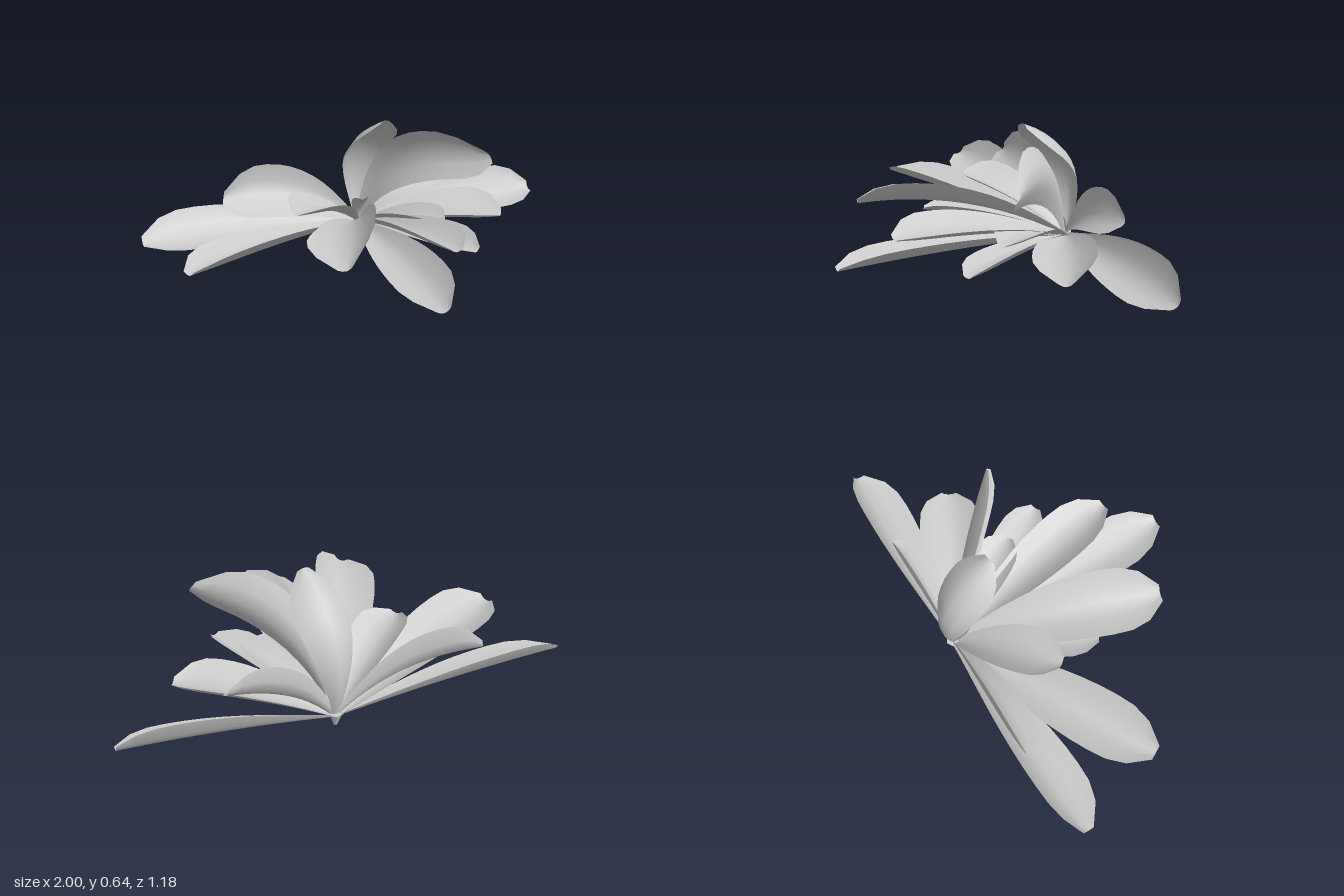
import * as THREE from 'three';

const { degToRad } = THREE.MathUtils;
const CROWN = new THREE.Vector3(0.07, 0.04, -0.52);
const ROWS = 12;
const COLUMNS = 4;
const WIDEST = 0.74;
const CUP = 0.5;

// Each leaf: name, tip x, y, z, half width, roll in degrees, upward bow
const LOW_LEAVES = [
  ['longBackRightLeaf', -1, 0.105, -0.46, 0.127, 29, 0.015],
  ['longFrontRightLeaf', -0.87, 0.115, -0.02, 0.138, -10, 0.02],
  ['longFrontLeaf', 0.07, 0.07, 0.6, 0.128, -14, 0.015],
  ['longBackLeftLeaf', 1, 0.105, -0.51, 0.127, -37, 0.015],
  ['sideLeftLeaf', 0.69, 0.12, -0.18, 0.14, -8, 0.025],
  ['lowFrontLeftLeaf', 0.42, 0.1, 0.14, 0.1, -12, 0.015],
  ['lowRightLeaf', -0.29, 0.13, 0.05, 0.1, -8, 0.025],
];
const HIGH_LEAVES = [
  ['innerFrontRightLeaf', -0.28, 0.22, 0.38, 0.148, -22, 0.08],
  ['innerFrontLeaf', 0.21, 0.235, 0.39, 0.122, 4, 0.03],
  ['innerRightLeaf', -0.34, 0.26, -0.18, 0.115, 5, 0.04],
  ['innerLeftLeaf', 0.33, 0.17, -0.06, 0.1, 0, 0.03],
  ['upperBackRightLeaf', -0.6, 0.25, -0.52, 0.13, 60, 0.08],
  ['upperBackLeftLeaf', 0.54, 0.29, -0.54, 0.105, -63, 0.07],
  ['tallLeftLeaf', 0.55, 0.49, -0.03, 0.132, -94, 0.17],
  ['tallBackLeaf', 0.12, 0.64, -0.26, 0.12, 180, 0.15],
  ['heartLeaf', 0.06, 0.2, -0.41, 0.04, 0, 0.02],
];

// Share of full width: swells from the stalk, then closes to a blunt tip
function widthAt(t) {
  if (t < WIDEST) return 0.12 + 0.88 * Math.sin((Math.PI / 2) * (t / WIDEST)) ** 1.2;
  return 1 - 0.75 * ((t - WIDEST) / (1 - WIDEST)) ** 3;
}

// A cupped blade swept along an arc from the crown to the tip
function leafGeometry(tip, halfWidth, roll, bow) {
  const along = tip.clone().sub(CROWN).normalize();
  const right = along.clone().cross(new THREE.Vector3(0, 1, 0)).normalize();
  const up = right.clone().cross(along);
  const control = CROWN.clone().lerp(tip, 0.5).addScaledVector(up, 2 * bow);
  const spine = new THREE.QuadraticBezierCurve3(CROWN, control, tip);
  const side = right.applyAxisAngle(along, -degToRad(roll));

  const points = [];
  const indices = [];
  for (let row = 0; row <= ROWS; row++) {
    const t = row / ROWS;
    const width = halfWidth * widthAt(t);
    const normal = side.clone().cross(spine.getTangent(t)).normalize();
    for (let col = 0; col <= COLUMNS; col++) {
      const u = (2 * col) / COLUMNS - 1;
      points.push(spine.getPoint(t)
        .addScaledVector(side, u * width)
        .addScaledVector(normal, CUP * u * u * width));
      if (row < ROWS && col < COLUMNS) {
        const a = row * (COLUMNS + 1) + col;
        const b = a + COLUMNS + 1;
        indices.push(a, a + 1, b, a + 1, b + 1, b);
      }
    }
  }
  const geometry = new THREE.BufferGeometry().setFromPoints(points);
  geometry.setIndex(indices);
  geometry.computeVertexNormals();
  return geometry;
}

export function createModel() {
  const group = new THREE.Group();
  group.name = 'leafyPlant';
  const material = new THREE.MeshStandardMaterial({ color: 0xcccccc, side: THREE.DoubleSide });

  for (const [name, x, y, z, halfWidth, roll, bow] of [...LOW_LEAVES, ...HIGH_LEAVES]) {
    const tip = new THREE.Vector3(x, y, z);
    const leaf = new THREE.Mesh(leafGeometry(tip, halfWidth, roll, bow), material);
    leaf.name = name;
    group.add(leaf);
  }

  // Short root where the leaves meet
  const root = new THREE.Mesh(new THREE.CylinderGeometry(0.03, 0.008, 0.06, 6), material);
  root.name = 'root';
  root.position.set(CROWN.x, 0.03, CROWN.z);
  group.add(root);

  return group;
}
